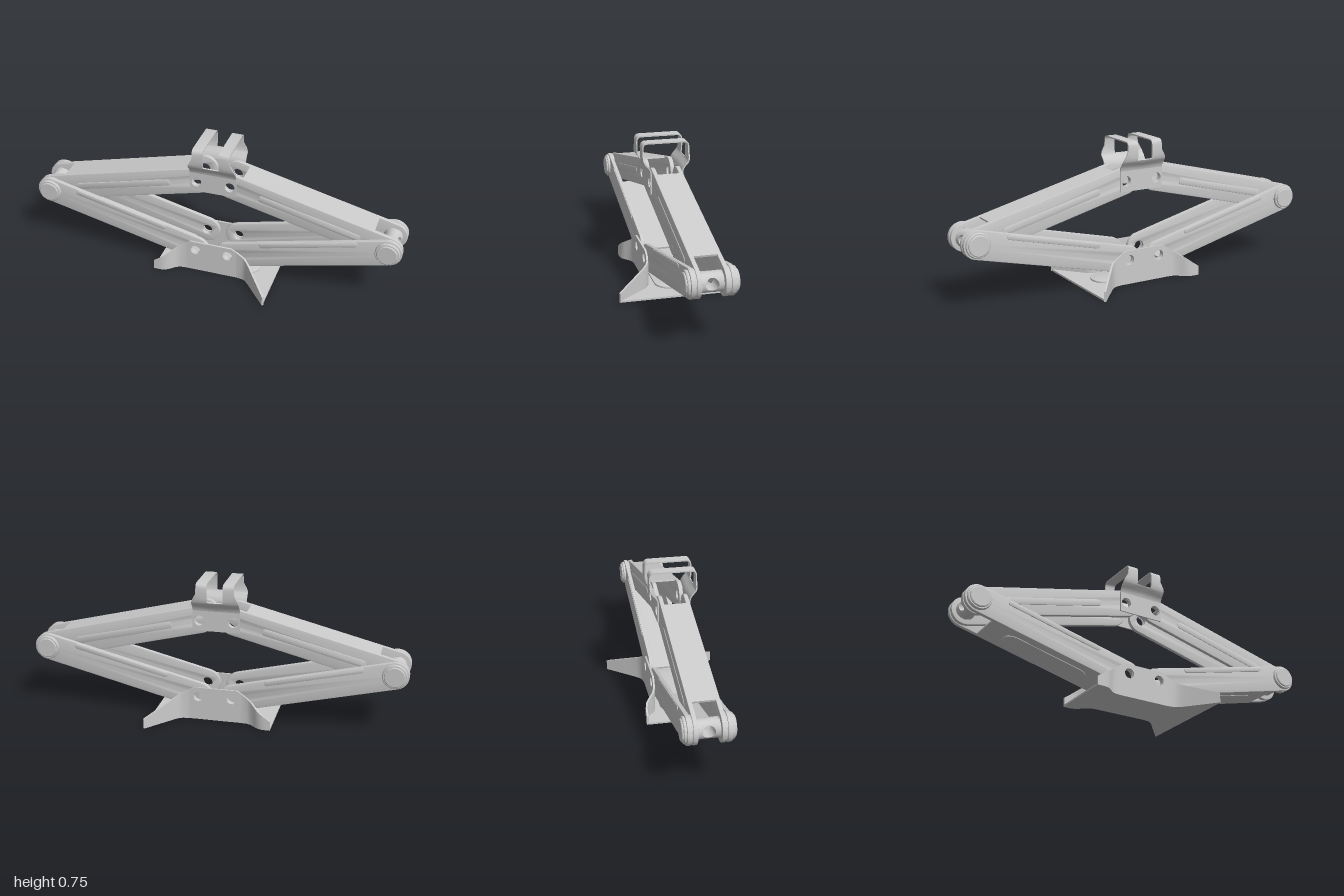
import * as THREE from 'three';
import { toCreasedNormals, mergeVertices } from 'three/addons/utils/BufferGeometryUtils.js';
import { ParametricGeometry } from 'three/addons/geometries/ParametricGeometry.js';

const steel = new THREE.MeshStandardMaterial({ color: 0xcccccc });
const sheet = new THREE.MeshStandardMaterial({ color: 0xcccccc, side: THREE.DoubleSide });

const PIVOT_X = 0.927, PIVOT_Y = 0.335; // outer joints
const INNER_X = 0.09, TOP_Y = 0.545, LOW_Y = 0.13; // inner joints
const R = 0.073; // arm end radius
const HOLE = 0.027;

function add(parent, name, geo, x = 0, y = 0, z = 0, mat = steel) {
  const m = new THREE.Mesh(geo, mat);
  m.name = name;
  m.position.set(x, y, z);
  parent.add(m);
  return m;
}

function hole(shape, x, y, r) {
  shape.holes.push(new THREE.Path().absarc(x, y, r, 0, Math.PI * 2, true));
}

// Stadium outline from x = a to x = b (arc centres)
function stadium(a, b, r, y = 0) {
  const s = new THREE.Shape();
  s.absarc(b, y, r, -Math.PI / 2, Math.PI / 2, false);
  s.absarc(a, y, r, Math.PI / 2, Math.PI * 1.5, false);
  s.closePath();
  return s;
}

// Extrusion centred on z = 0, with a small rounded edge if asked
function plate(shape, depth, bevel = 0) {
  const g = new THREE.ExtrudeGeometry(shape, {
    depth: depth - 2 * bevel, curveSegments: 20, bevelEnabled: bevel > 0,
    bevelSize: bevel, bevelOffset: -bevel, bevelThickness: bevel, bevelSegments: 2,
  });
  g.translate(0, 0, -depth / 2 + bevel);
  return toCreasedNormals(g, 0.6);
}

// Bent sheet: path points [u, v, from, to]; thickness t lies along the path normal
function ribbon(path, t, map) {
  const pos = [], idx = [];
  path.forEach(([u, v, a, b], i) => {
    const p = path[Math.max(i - 1, 0)], q = path[Math.min(i + 1, path.length - 1)];
    const l = Math.hypot(q[0] - p[0], q[1] - p[1]);
    const nu = (-(q[1] - p[1]) / l) * t / 2, nv = ((q[0] - p[0]) / l) * t / 2;
    [[1, a], [1, b], [-1, b], [-1, a]].forEach(([s, w]) => pos.push(...map(u + s * nu, v + s * nv, w)));
    if (i) for (let k = 0; k < 4; k++) {
      const c = (i - 1) * 4 + k, d = (i - 1) * 4 + ((k + 1) % 4);
      idx.push(c, d, d + 4, c, d + 4, c + 4);
    }
  });
  const e = (path.length - 1) * 4;
  idx.push(0, 2, 1, 0, 3, 2, e, e + 1, e + 2, e, e + 2, e + 3);
  const g = new THREE.BufferGeometry();
  g.setAttribute('position', new THREE.Float32BufferAttribute(pos, 3));
  g.setIndex(idx);
  return toCreasedNormals(g, 0.7);
}

// Channel arm: outer joint at the origin, inner joint at x = len, web on +y
function arm(name, len, zOut, isLower) {
  const g = new THREE.Group();
  g.name = name;
  const t = 0.022;
  const outline = stadium(0, len, R);
  hole(outline, len, 0, HOLE);
  const wall = plate(outline, t, 0.004);
  for (const s of [1, -1]) {
    add(g, 'armWall', wall, 0, 0, s * (zOut - t / 2));
    if (isLower) {
      add(g, 'wallStep', plate(stadium(0.16, 0.66, 0.014, -0.056), 0.008, 0.003), 0, 0, s * zOut);
    } else {
      add(g, 'wallBead', plate(stadium(0.17, 0.69, 0.019), 0.008, 0.003), 0, 0, s * (zOut - 0.001));
    }
  }
  const a = 0.1, b = len - 0.05;
  add(g, 'armWeb', new THREE.BoxGeometry(b - a, 0.01, 2 * zOut - 0.008), (a + b) / 2, R - 0.005, 0);
  if (isLower) {
    const panel = plate(stadium(0.26, 0.62, 0.055), 0.008, 0.003);
    panel.rotateX(-Math.PI / 2);
    add(g, 'webPanel', panel, 0, R, 0);
  }
  return g;
}

// Waisted cross pin with a screw hole along x
function trunnion() {
  const g = new THREE.Group();
  g.name = 'trunnion';
  const r = 0.05, w = 0.054, h = 0.031;
  const edge = (u) => {
    const a = u * Math.PI * 2, c = Math.cos(a), s = Math.sin(a), m = Math.max(Math.abs(c), Math.abs(s));
    return [c, s, c / m, s / m];
  };
  const depth = (y, z) => Math.sqrt(Math.max(r * r - y * y, 0)) * (1 - 0.15 * (1 - (z / w) ** 2));
  for (const side of [1, -1]) {
    const face = new ParametricGeometry((u, v, out) => {
      const [c, s, ec, es] = edge(u);
      const z = THREE.MathUtils.lerp(c * h, ec * w, v), y = THREE.MathUtils.lerp(s * h, es * r, v);
      out.set(side * depth(y, z), y, z);
    }, 64, 10);
    add(g, 'pinBody', face, 0, 0, 0, sheet);
  }
  const bore = new ParametricGeometry((u, v, out) => {
    const [c, s] = edge(u);
    out.set((2 * v - 1) * depth(s * h, c * h), s * h, c * h);
  }, 48, 1);
  add(g, 'screwBore', bore, 0, 0, 0, sheet);
  return g;
}

// Round rivet head and washer, turned about z
function rivet() {
  const p = [[0, 0.127], [0.05, 0.127], [0.054, 0.124], [0.054, 0.119], [0.06, 0.119], [0.064, 0.115],
    [0.064, 0.104], [0.03, 0.104], [0.03, 0.084], [0.068, 0.084], [0.068, 0.076], [0.03, 0.076], [0.03, 0.052], [0, 0.052]];
  const g = new THREE.LatheGeometry(p.map(([x, y]) => new THREE.Vector2(x, y)).reverse(), 40);
  g.rotateX(Math.PI / 2);
  return toCreasedNormals(g, 0.6);
}

function linkage(name) {
  const g = new THREE.Group();
  g.name = name;
  const run = PIVOT_X - INNER_X, up = TOP_Y - PIVOT_Y, down = PIVOT_Y - LOW_Y;
  const upper = arm('upperArm', Math.hypot(run, up), 0.077, false);
  upper.rotation.z = Math.atan2(up, run);
  const lower = arm('lowerArm', Math.hypot(run, down), 0.105, true);
  lower.rotation.z = -Math.atan2(down, run);
  lower.scale.y = -1;
  g.add(upper, lower, trunnion());
  const head = rivet();
  add(g, 'rivet', head);
  add(g, 'rivet', head).rotation.y = Math.PI;
  g.position.set(-PIVOT_X, PIVOT_Y, 0);
  return g;
}

function topBracket() {
  const g = new THREE.Group();
  g.name = 'topBracket';
  const s = new THREE.Shape([[-0.125, 0.49], [0.125, 0.49], [0.125, 0.6], [-0.125, 0.6]].map((p) => new THREE.Vector2(...p)));
  for (const x of [-INNER_X, INNER_X]) hole(s, x, TOP_Y, HOLE);
  for (const z of [0.0825, -0.0825]) add(g, 'bracketCheek', plate(s, 0.007), 0, 0, z);
  // Half profile [z, y, inner x, outer x] of the saddle loop
  const half = [[0.0825, 0.6, 0, 0.125], [0.086, 0.614, 0, 0.125], [0.096, 0.63, 0, 0.125], [0.112, 0.648, 0, 0.125],
    [0.1155, 0.655, 0, 0.124], [0.1158, 0.656, 0.042, 0.124], [0.12, 0.67, 0.042, 0.118], [0.12, 0.7, 0.042, 0.102],
    [0.12, 0.73, 0.042, 0.1], [0.117, 0.742, 0.042, 0.1], [0.11, 0.749, 0.042, 0.1], [0.1, 0.7515, 0.042, 0.1]];
  const path = [...half, ...half.slice().reverse().map(([z, ...r]) => [-z, ...r])];
  const strap = ribbon(path, 0.007, (z, y, x) => [x, y, z]);
  for (const m of [1, -1]) add(g, 'saddleStrap', strap, 0, 0, 0, sheet).scale.x = m;
  return g;
}

function base() {
  const g = new THREE.Group();
  g.name = 'base';
  const wingR = [[0.14, 0.112], [0.175, 0.117], [0.195, 0.127], [0.215, 0.146], [0.25, 0.188], [0.34, 0.296]];
  const wingL = [[-0.14, 0.112], [-0.175, 0.115], [-0.2, 0.126], [-0.225, 0.15], [-0.245, 0.165], [-0.27, 0.171], [-0.307, 0.171]];
  const height = (x) => 0.18 - 0.13 * (x > 0 ? (x - 0.11) / 0.235 : (-x - 0.12) / 0.185);
  const s = new THREE.Shape([[-0.14, 0], [0.14, 0], [0.14, height(0.14)], [0.11, 0.18], [-0.12, 0.18], [-0.14, height(-0.14)]]
    .map((p) => new THREE.Vector2(...p)));
  for (const x of [-INNER_X, INNER_X]) hole(s, x, LOW_Y, HOLE);
  for (const m of [1, -1]) {
    add(g, 'baseCheek', plate(s, 0.01), 0, 0, m * 0.112);
    for (const wing of [wingL, wingR]) {
      const geo = ribbon(wing.map(([x, z]) => [x, z, 0, height(x)]), 0.01, (x, z, y) => [x, y, z]);
      add(g, 'baseWing', geo, 0, 0, 0, sheet).scale.z = m;
    }
  }
  // Floor follows the plan of the walls
  const side = [...wingL.slice().reverse(), ...wingR];
  const plan = [...side, ...side.slice().reverse().map(([x, z]) => [x, -z])];
  const floor = plate(new THREE.Shape(plan.map((p) => new THREE.Vector2(...p))), 0.01);
  floor.rotateX(-Math.PI / 2);
  add(g, 'baseFloor', floor, 0, 0.005, 0);
  const pad = plate(stadium(-0.14, 0.17, 0.08), 0.012, 0.004);
  pad.rotateX(-Math.PI / 2);
  add(g, 'floorPad', pad, 0, 0.014, 0);
  return g;
}

export function createModel() {
  const model = new THREE.Group();
  model.name = 'scissorJack';
  const right = linkage('rightLinkage');
  const left = new THREE.Group();
  left.name = 'leftLinkage';
  left.add(linkage('linkage'));
  left.scale.x = -1;
  model.add(right, left, topBracket(), base());
  return model;
}
